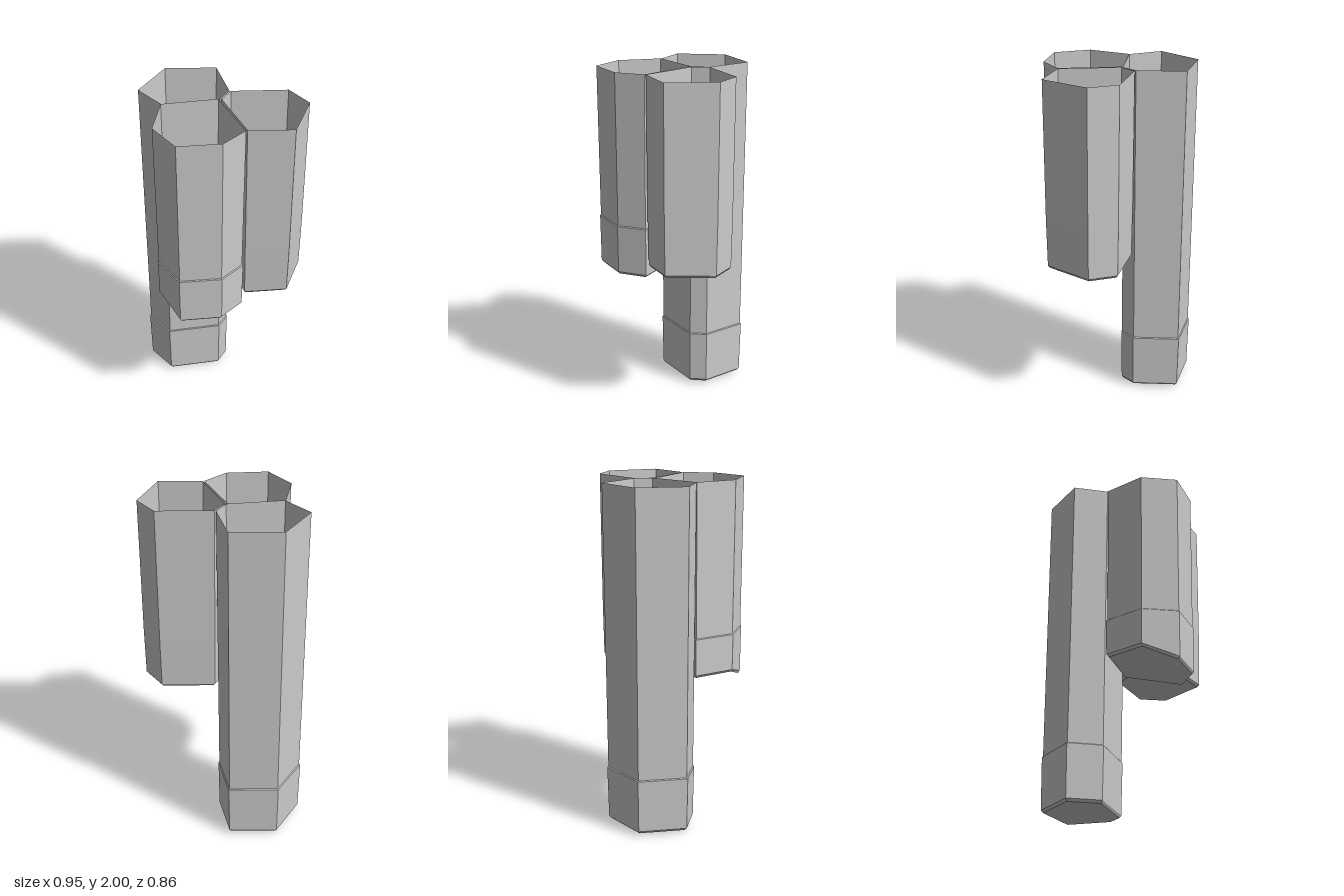
import * as THREE from 'three';

// Loft through rings of 3D points (top to bottom), optionally closed by a point below
function loft(rings, tip) {
  const pos = [];
  const tri = (a, b, c) => pos.push(...a, ...b, ...c);
  rings.forEach((up, r) => {
    const low = rings[r + 1];
    up.forEach((p, i) => {
      const j = (i + 1) % up.length;
      if (low) {
        tri(p, up[j], low[j]);
        tri(p, low[j], low[i]);
      } else if (tip) tri(p, up[j], tip);
    });
  });
  const g = new THREE.BufferGeometry();
  g.setAttribute('position', new THREE.Float32BufferAttribute(pos, 3));
  g.computeVertexNormals();
  return g;
}

// outline: clockwise [x, z] corners; base: corner heights of the underside
const columns = [
  {
    name: 'tallColumn', ledge: 0.34, neck: 0.965, collar: 0.99, foot: 0.965,
    outline: [[-0.205, -0.43], [-0.02, -0.22], [-0.025, -0.115], [-0.285, 0.08], [-0.475, 0], [-0.465, -0.29]],
    base: [0.015, 0.015, 0.015, 0.015, 0.015, 0.015], tip: [-0.25, 0, -0.16],
  },
  {
    name: 'frontColumn', ledge: 1.105, neck: 0.972, collar: 0.995, foot: 0.98,
    outline: [[-0.03, -0.105], [0.245, 0.125], [0.195, 0.295], [-0.01, 0.427], [-0.205, 0.325], [-0.285, 0.085]],
    base: [0.87, 0.81, 0.81, 0.808, 0.877, 0.875], tip: [-0.015, 0.875, 0.19],
  },
  {
    name: 'rightColumn', ledge: 1.2, neck: 0.985, collar: 0.985, foot: 0.965,
    outline: [[0.27, -0.375], [0.43, -0.295], [0.475, 0], [0.25, 0.117], [-0.015, -0.115], [-0.01, -0.22]],
    base: [0.89, 0.892, 0.9, 0.882, 0.89, 0.89], tip: [0.23, 0.862, -0.15],
  },
];

export function createModel() {
  const model = new THREE.Group();
  const stone = new THREE.MeshStandardMaterial({ color: 0xcccccc, side: THREE.DoubleSide });
  stone.name = 'grey stone';

  for (const c of columns) {
    const column = new THREE.Group();
    column.name = c.name;
    const cx = c.outline.reduce((s, p) => s + p[0], 0) / 6;
    const cz = c.outline.reduce((s, p) => s + p[1], 0) / 6;
    // Scaled copy of the outline at a height given per corner
    const ring = (s, height) => c.outline.map(([x, z], i) => [cx + (x - cx) * s, height(i), cz + (z - cz) * s]);
    const add = (name, rings, tip) => {
      const mesh = new THREE.Mesh(loft(rings, tip), stone);
      mesh.name = name;
      column.add(mesh);
    };
    const neck = ring(c.neck, () => c.ledge + 0.005);
    const foot = ring(c.foot, i => c.base[i] + 0.015);

    // Open-topped shaft, slightly tapered
    add('shaft', [ring(1, () => 2), neck]);
    // Collar with a small ledge above it
    add('collar', [neck, ring(c.collar, () => c.ledge), foot]);
    // Bevelled, uneven underside
    add('underside', [foot, ring(c.foot - 0.05, i => c.base[i])], c.tip);
    model.add(column);
  }
  return model;
}
